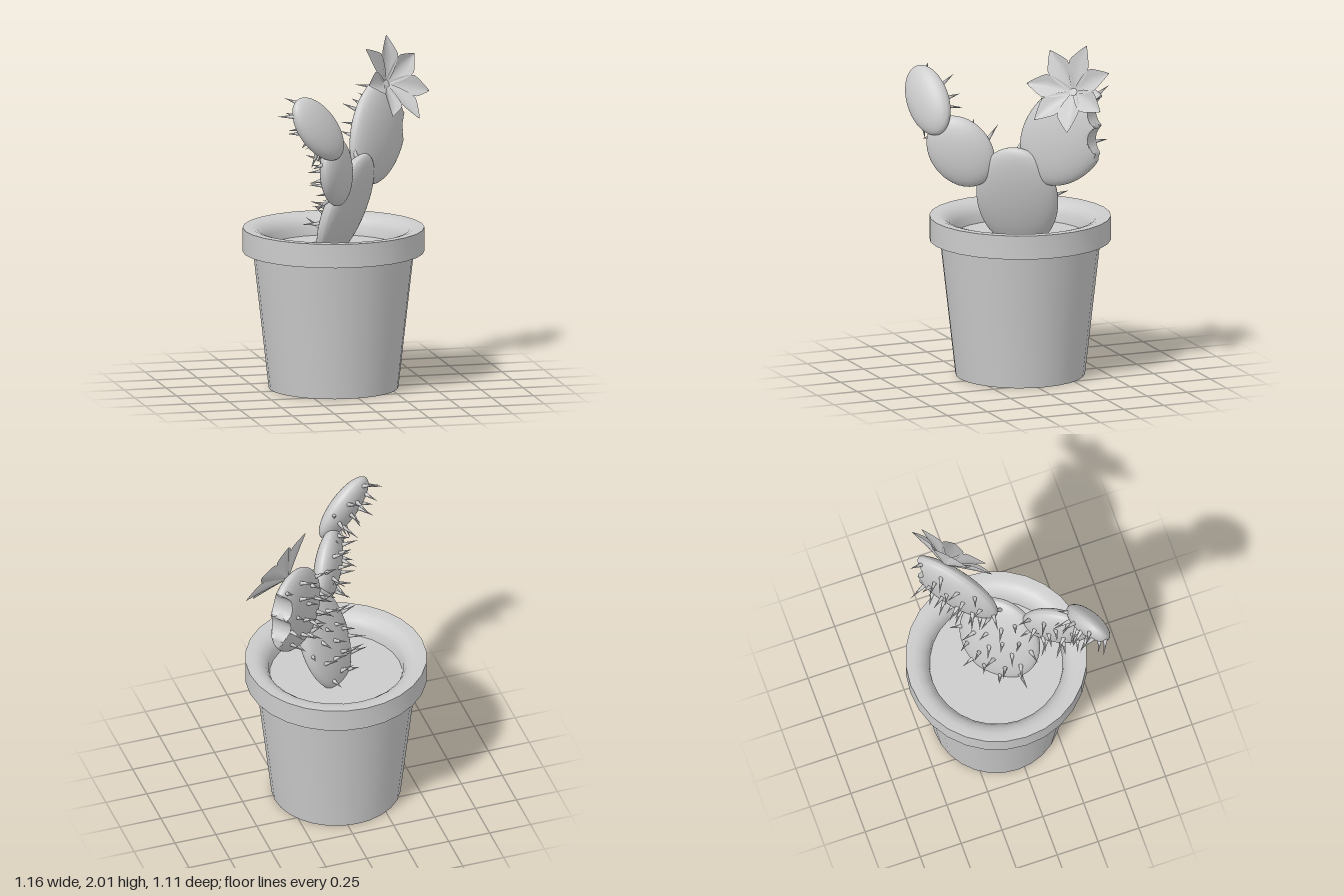
import * as THREE from 'three';
import { toCreasedNormals } from 'three/addons/utils/BufferGeometryUtils.js';

const material = new THREE.MeshStandardMaterial({ color: 0xcccccc });
const thinMaterial = new THREE.MeshStandardMaterial({ color: 0xcccccc, side: THREE.DoubleSide });
const UP = new THREE.Vector3(0, 1, 0);
const FORWARD = new THREE.Vector3(0, 0, 1);

function mesh(name, geometry, mat = material) {
  const m = new THREE.Mesh(geometry, mat);
  m.name = name;
  return m;
}

// small seeded random source for the spines
function seeded(seed) {
  return () => (seed = (seed * 16807) % 2147483647) / 2147483647;
}

function lathe(points) {
  const profile = points.map(([r, y]) => new THREE.Vector2(r, y));
  return toCreasedNormals(new THREE.LatheGeometry(profile, 28), 0.7);
}

// flowerpot with a heavy rim, rounded inside, and a disc of soil
function makePot() {
  const pot = new THREE.Group();
  pot.name = 'pot';
  pot.add(mesh('potShell', lathe([
    [0, 0], [0.375, 0], [0.465, 0.8], [0.525, 0.8], [0.525, 0.94], [0.475, 0.94],
    [0.44, 0.93], [0.41, 0.905], [0.39, 0.87], [0.383, 0.8],
  ])));
  pot.add(mesh('soil', lathe([[0.388, 0.82], [0, 0.82]])));
  pot.position.set(-0.055, 0, -0.043);
  return pot;
}

// push points that lie in or beyond a round bite sideways onto its inner arc
function cutBites(geometry, bites) {
  const p = geometry.attributes.position;
  for (let i = 0; i < p.count; i++) {
    for (const [cx, cy, r] of bites) {
      const dy = p.getY(i) - cy;
      if (Math.abs(dy) < r) p.setX(i, Math.min(p.getX(i), cx - Math.sqrt(r * r - dy * dy)));
    }
  }
}

// flat oval pad: local x = width, y = length, z = thickness; spines grow on the back
function makePad({ name, centre, yaw, lean, tilt, size, spines, bites = [] }) {
  const pad = new THREE.Group();
  pad.name = name;
  const [w, h, t] = size;
  const rad = THREE.MathUtils.degToRad;
  const body = new THREE.SphereGeometry(1, 96, 36).rotateX(Math.PI / 2).scale(w, h, t);
  body.rotateZ(rad(tilt));
  cutBites(body, bites);
  pad.add(mesh(name + 'Body', toCreasedNormals(body, 0.7)));

  const random = seeded(spines * 977 + 13);
  for (let i = 0; i < spines; i++) {
    const r = 0.99 * Math.sqrt((i + 0.5) / spines);
    const a = i * 2.39996;
    const x = r * Math.cos(a), y = r * Math.sin(a), z = -Math.sqrt(1 - r * r);
    const base = new THREE.Vector3(x * w, y * h, z * t).applyAxisAngle(FORWARD, rad(tilt));
    if (bites.some(([cx, cy, br]) => Math.hypot(base.x - cx, base.y - cy) < br + 0.01)) continue;
    const direction = new THREE.Vector3(x / w, y / h, z / t).normalize();
    direction.x += (random() - 0.5) * 0.9;
    direction.y += (random() - 0.5) * 0.9;
    direction.normalize().applyAxisAngle(FORWARD, rad(tilt));
    const length = 0.075 + 0.055 * random();
    const cone = new THREE.ConeGeometry(0.014, length, 7).translate(0, length / 2 - 0.012, 0);
    const spine = mesh('spine', cone);
    spine.position.copy(base);
    spine.quaternion.setFromUnitVectors(UP, direction);
    pad.add(spine);
  }
  pad.rotation.set(rad(lean), rad(yaw), 0, 'YXZ');
  pad.position.set(...centre);
  return pad;
}

// pointed, creased petal along +y, curving towards +z
function petalGeometry() {
  const g = new THREE.PlaneGeometry(2, 1, 4, 12);
  const p = g.attributes.position;
  for (let i = 0; i < p.count; i++) {
    const t = p.getY(i) + 0.5, side = p.getX(i);
    const half = t < 0.6
      ? 0.012 + 0.056 * Math.sin((t / 0.6) * Math.PI / 2)
      : 0.068 * Math.pow((1 - t) / 0.4, 0.9);
    p.setXYZ(i, side * half, t * 0.27, 0.095 * t ** 0.9 + 0.5 * half * Math.abs(side));
  }
  g.computeVertexNormals();
  return g;
}

function makeFlower() {
  const flower = new THREE.Group();
  flower.name = 'flower';
  const geometry = petalGeometry();
  for (let i = 0; i < 7; i++) {
    const petal = mesh('petal', geometry, thinMaterial);
    petal.rotation.z = -0.05 + (i * Math.PI * 2) / 7;
    flower.add(petal);
  }
  const calyx = mesh('calyx', new THREE.SphereGeometry(0.03, 16, 12));
  calyx.position.z = -0.028;
  flower.add(calyx);
  flower.position.set(0.3, 1.728, -0.235);
  flower.quaternion.setFromUnitVectors(
    FORWARD, new THREE.Vector3(0.56, 0.46, 0.69).normalize());
  return flower;
}

export function createModel() {
  const model = new THREE.Group();
  model.name = 'pottedCactus';
  model.add(makePot());
  const pads = [
    { name: 'basePad', centre: [0.005, 1.065, 0.0], yaw: 50, lean: 19, tilt: -6,
      size: [0.245, 0.335, 0.085], spines: 24 },
    { name: 'floweringPad', centre: [0.25, 1.47, -0.2], yaw: 43, lean: -4, tilt: -38,
      size: [0.25, 0.335, 0.08], spines: 22,
      bites: [[0.26, 0.15, 0.1], [0.255, -0.01, 0.09], [0.25, -0.115, 0.05]] },
    { name: 'middlePad', centre: [-0.125, 1.335, 0.3], yaw: 56, lean: 0, tilt: 40,
      size: [0.182, 0.225, 0.072], spines: 16 },
    { name: 'upperPad', centre: [-0.27, 1.62, 0.445], yaw: 31, lean: -17, tilt: 36,
      size: [0.135, 0.22, 0.07], spines: 15 },
  ];
  for (const pad of pads) model.add(makePad(pad));
  model.add(makeFlower());
  return model;
}
